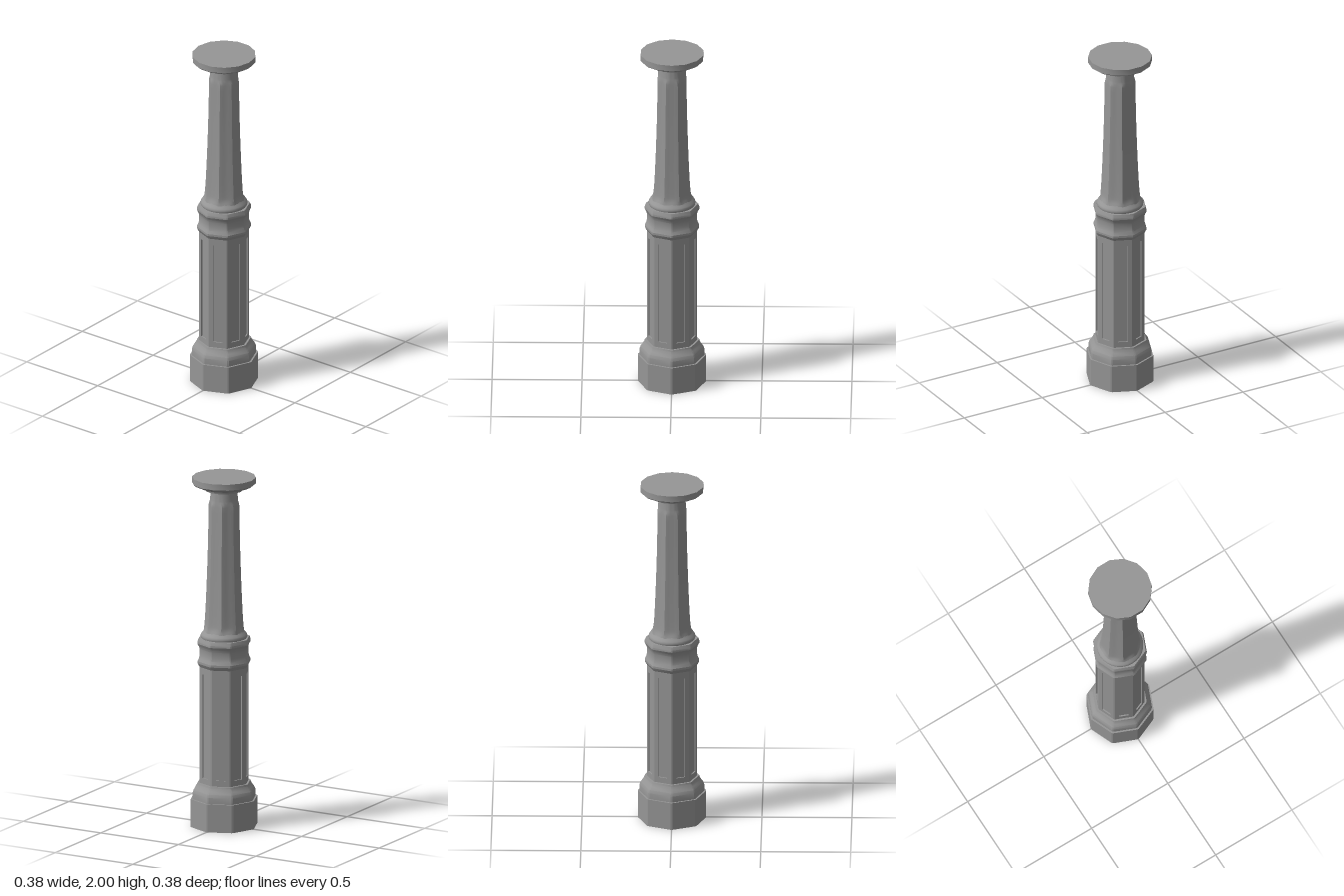
import * as THREE from 'three';
import { toCreasedNormals } from 'three/addons/utils/BufferGeometryUtils.js';

const material = new THREE.MeshStandardMaterial({ color: 0x969696 });
const SIDES = 8;
const STEP = Math.PI * 2 / SIDES;
const BEVEL = 0.026; // half angle of the narrow bevel on each octagon corner
const SHAFT_R = 0.14;

function part(name, geometry, crease = 0.55) {
  const mesh = new THREE.Mesh(toCreasedNormals(geometry, crease), material);
  mesh.name = name;
  return mesh;
}

function lathe(profile, sides, start) {
  return new THREE.LatheGeometry(profile.map(([r, y]) => new THREE.Vector2(r, y)), sides, start);
}

// Round part from [radius, height] pairs, listed bottom to top
function turned(name, profile, sides, start = 0) {
  return part(name, lathe(profile, sides, start));
}

// Octagonal part with narrowly bevelled corners, from the same kind of profile
function octagonal(name, profile) {
  const geometry = lathe(profile, SIDES * 2, STEP / 4);
  const pos = geometry.attributes.position;
  for (let i = 0; i < pos.count; i++) {
    const x = pos.getX(i), z = pos.getZ(i);
    const r = Math.hypot(x, z), angle = Math.atan2(x, z);
    const corner = Math.round(angle / STEP) * STEP;
    const moved = corner + Math.sign(angle - corner) * BEVEL;
    pos.setXYZ(i, r * Math.sin(moved), pos.getY(i), r * Math.cos(moved));
  }
  return part(name, geometry, 0.38);
}

// One face of the shaft: a frame around a recessed panel
function panelFrame(width, y0, y1, depth) {
  const rect = (w, a, b) => [[-w, a], [w, a], [w, b], [-w, b]].map(([x, y]) => new THREE.Vector2(x, y));
  const shape = new THREE.Shape(rect(width / 2, y0, y1));
  shape.holes.push(new THREE.Path(rect(0.0265, 0.285, 0.88)));
  return new THREE.ExtrudeGeometry(shape, { depth, bevelEnabled: false });
}

// Stands a mesh off the axis, facing outwards
function faceOutward(mesh, angle, distance) {
  mesh.rotation.y = angle;
  mesh.position.x = Math.sin(angle) * distance;
  mesh.position.z = Math.cos(angle) * distance;
  return mesh;
}

// Tapering column with eight flutes that fade out at both ends, and a plain neck
function flutedColumn() {
  const curve = new THREE.SplineCurve([
    [0.116, 1.105], [0.111, 1.14], [0.105, 1.22], [0.097, 1.4], [0.09, 1.62], [0.086, 1.84],
  ].map(([r, y]) => new THREE.Vector2(r, y)));
  const profile = curve.getPoints(24).map((p) => [p.x, p.y]);
  profile.push([0.083, 1.855], [0.079, 1.866], [0.077, 1.876], [0.075, 1.93]);
  const geometry = lathe(profile, 64, 0);
  const pos = geometry.attributes.position;
  for (let i = 0; i < pos.count; i++) {
    const x = pos.getX(i), y = pos.getY(i), z = pos.getZ(i);
    const fade = THREE.MathUtils.smoothstep(y, 1.105, 1.15) * (1 - THREE.MathUtils.smoothstep(y, 1.84, 1.876));
    const cut = 0.085 * fade * Math.abs(Math.cos(4 * Math.atan2(x, z)));
    pos.setXYZ(i, x * (1 - cut), y, z * (1 - cut));
  }
  return part('flutedColumn', geometry);
}

export function createModel() {
  const group = new THREE.Group();
  group.name = 'pedestalColumn';

  // Octagonal plinth and its curved shoulder
  group.add(octagonal('plinth', [[0, 0], [0.19, 0], [0.19, 0.16], [0, 0.16]]));
  group.add(octagonal('plinthShoulder', [
    [0.18, 0.16], [0.18, 0.195], [0.174, 0.212], [0.162, 0.228],
    [0.154, 0.242], [0.151, 0.252], [0, 0.252],
  ]));

  // Octagonal shaft: a core with a panelled frame on every face and a strip on every corner
  const y0 = 0.25, y1 = 0.93, depth = 0.008;
  const halfFace = STEP / 2 - BEVEL;
  const apothem = SHAFT_R * Math.cos(halfFace);
  const coreR = (apothem - depth + 0.001) / Math.cos(halfFace);
  group.add(octagonal('shaftCore', [[coreR, y0], [coreR, y1]]));
  const shaft = new THREE.Group();
  shaft.name = 'shaftPanels';
  for (let i = 0; i < SIDES; i++) {
    const frame = part('panelFrame', panelFrame(2 * SHAFT_R * Math.sin(halfFace), y0, y1, depth));
    shaft.add(faceOutward(frame, (i + 0.5) * STEP, apothem - depth));
    const strip = part('cornerStrip', new THREE.BoxGeometry(2 * SHAFT_R * Math.sin(BEVEL), y1 - y0, depth));
    strip.position.y = (y0 + y1) / 2;
    shaft.add(faceOutward(strip, i * STEP, SHAFT_R * Math.cos(BEVEL) - depth / 2));
  }
  group.add(shaft);

  // Double moulding around the top of the shaft
  group.add(octagonal('shaftMoulding', [
    [0.138, 0.915], [0.144, 0.924], [0.151, 0.938], [0.151, 0.95], [0.143, 0.968], [0.139, 0.985],
    [0.139, 1.02], [0.144, 1.035], [0.152, 1.05], [0.152, 1.062], [0.145, 1.08], [0, 1.08],
  ]));

  // Rounded collar carrying the column
  group.add(turned('collar', [
    [0.127, 1.078], [0.13, 1.085], [0.13, 1.094], [0.126, 1.102], [0.118, 1.11], [0.108, 1.125], [0, 1.125],
  ], 28));
  group.add(flutedColumn());

  // Round cap
  group.add(turned('cap', [
    [0.074, 1.922], [0.106, 1.926], [0.11, 1.938], [0.135, 1.943],
    [0.165, 1.956], [0.178, 1.966], [0.178, 2], [0, 2],
  ], 14, Math.PI / 2));

  return group;
}
